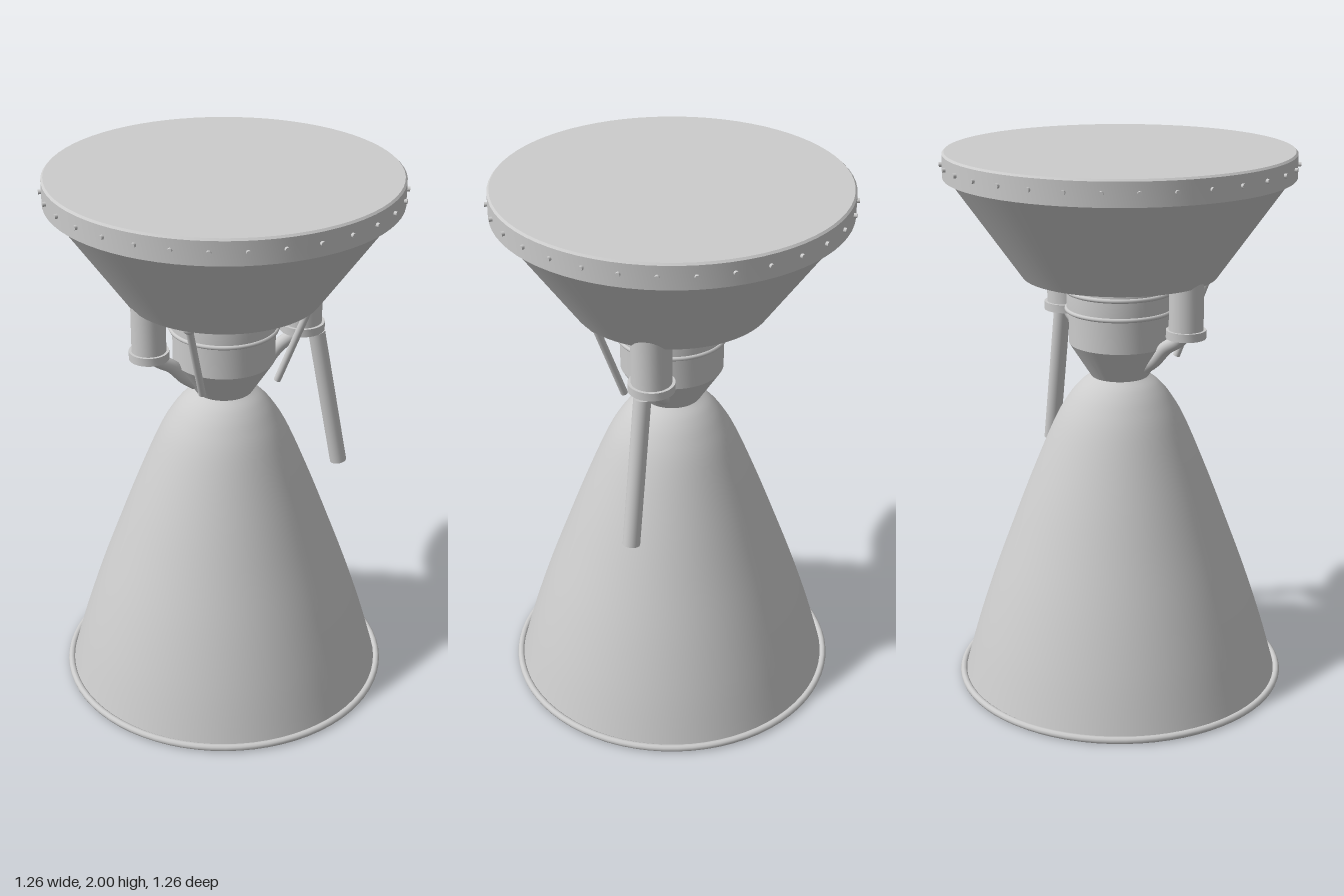
import * as THREE from 'three';
import { toCreasedNormals } from 'three/addons/utils/BufferGeometryUtils.js';

const material = new THREE.MeshStandardMaterial({ color: 0xcccccc });
const shellMaterial = new THREE.MeshStandardMaterial({ color: 0xcccccc, side: THREE.DoubleSide });
const V = (x, y, z) => new THREE.Vector3(x, y, z);

function add(parent, name, geometry, mat = material) {
  const mesh = new THREE.Mesh(geometry, mat);
  mesh.name = name;
  parent.add(mesh);
  return mesh;
}

// Surface of revolution from [radius, y] pairs listed bottom to top
function lathe(pairs, segments = 72) {
  const points = pairs.map(([r, y]) => new THREE.Vector2(r, y));
  return toCreasedNormals(new THREE.LatheGeometry(points, segments), 0.5);
}

// Straight round rod between two points
function rod(parent, name, from, to, radius) {
  const dir = to.clone().sub(from);
  const mesh = add(parent, name, new THREE.CylinderGeometry(radius, radius, dir.length(), 24));
  mesh.position.copy(from).add(to).multiplyScalar(0.5);
  mesh.quaternion.setFromUnitVectors(V(0, 1, 0), dir.normalize());
  return mesh;
}

function ring(parent, name, radius, tube, y) {
  const mesh = add(parent, name, new THREE.TorusGeometry(radius, tube, 10, 72));
  mesh.rotation.x = Math.PI / 2;
  mesh.position.y = y;
  return mesh;
}

// Pump housing with a flange and an elbow pipe into the chamber
function pump(name, x, z, radius, flangeRadius) {
  const group = new THREE.Group();
  group.name = name;
  const body = add(group, 'pumpBody', lathe([
    [0, 1.37], [flangeRadius, 1.37], [flangeRadius, 1.4], [radius, 1.4], [radius, 1.64], [0, 1.64],
  ], 32));
  body.position.set(x, 0, z);
  const elbow = new THREE.CatmullRomCurve3([
    V(x, 1.39, z), V(x * 0.9, 1.355, z * 0.9), V(x * 0.7, 1.315, z * 0.7),
    V(x * 0.53, 1.26, z * 0.53), V(x * 0.4, 1.23, z * 0.4),
  ]);
  add(group, 'elbowPipe', new THREE.TubeGeometry(elbow, 24, 0.025, 16));
  return group;
}

export function createModel() {
  const model = new THREE.Group();
  model.name = 'rocketEngine';

  // Bell nozzle, open at the bottom
  const bell = new THREE.SplineCurve([
    [0.592, 0.015], [0.54, 0.2], [0.475, 0.4], [0.402, 0.6], [0.326, 0.8],
    [0.243, 1.0], [0.19, 1.095], [0.145, 1.15], [0.105, 1.18],
  ].map(([r, y]) => new THREE.Vector2(r, y)));
  add(model, 'bellNozzle', new THREE.LatheGeometry(bell.getPoints(40), 72), shellMaterial);
  ring(model, 'nozzleRim', 0.602, 0.013, 0.013);

  // Combustion chamber with its throat cone and bands
  add(model, 'chamber', lathe([
    [0.105, 1.18], [0.185, 1.305], [0.185, 1.42], [0.192, 1.43], [0.192, 1.51], [0.185, 1.56],
  ]), shellMaterial);
  for (const y of [1.43, 1.5]) ring(model, 'chamberBand', 0.192, 0.008, y);
  add(model, 'chamberFlange', lathe([
    [0.18, 1.525], [0.225, 1.525], [0.237, 1.532], [0.237, 1.545], [0.18, 1.556],
  ]));

  // Thrust cone, closed underneath, and the top cap
  add(model, 'thrustCone', lathe([[0, 1.555], [0.35, 1.555], [0.602, 1.912]]));
  add(model, 'topCap', lathe([
    [0.59, 1.91], [0.62, 1.91], [0.62, 1.993], [0.613, 2], [0, 2],
  ]));

  // Bolts around the cap
  for (let i = 0; i < 32; i++) {
    const a = (i / 32) * Math.PI * 2;
    const at = (r) => V(Math.sin(a) * r, 1.955, Math.cos(a) * r);
    rod(model, 'capBolt', at(0.61), at(0.63), 0.008);
  }

  // Pumps on opposite sides and the exhaust pipe
  model.add(pump('leftPump', 0.275, -0.126, 0.071, 0.082));
  model.add(pump('rightPump', -0.25, 0.165, 0.061, 0.071));
  rod(model, 'exhaustPipe', V(0.328, 1.358, -0.128), V(0.424, 0.815, -0.149), 0.031);

  // Support struts, a quarter turn apart
  for (const turn of [0, -Math.PI / 2]) {
    const strut = new THREE.Group();
    strut.name = 'supportStrut';
    rod(strut, 'strutRod', V(0.308, 1.56, 0.096), V(0.195, 1.25, 0.062), 0.013);
    const joint = add(strut, 'strutJoint', new THREE.SphereGeometry(0.022, 16, 12));
    joint.position.set(0.305, 1.553, 0.095);
    strut.rotation.y = turn;
    model.add(strut);
  }
  return model;
}
